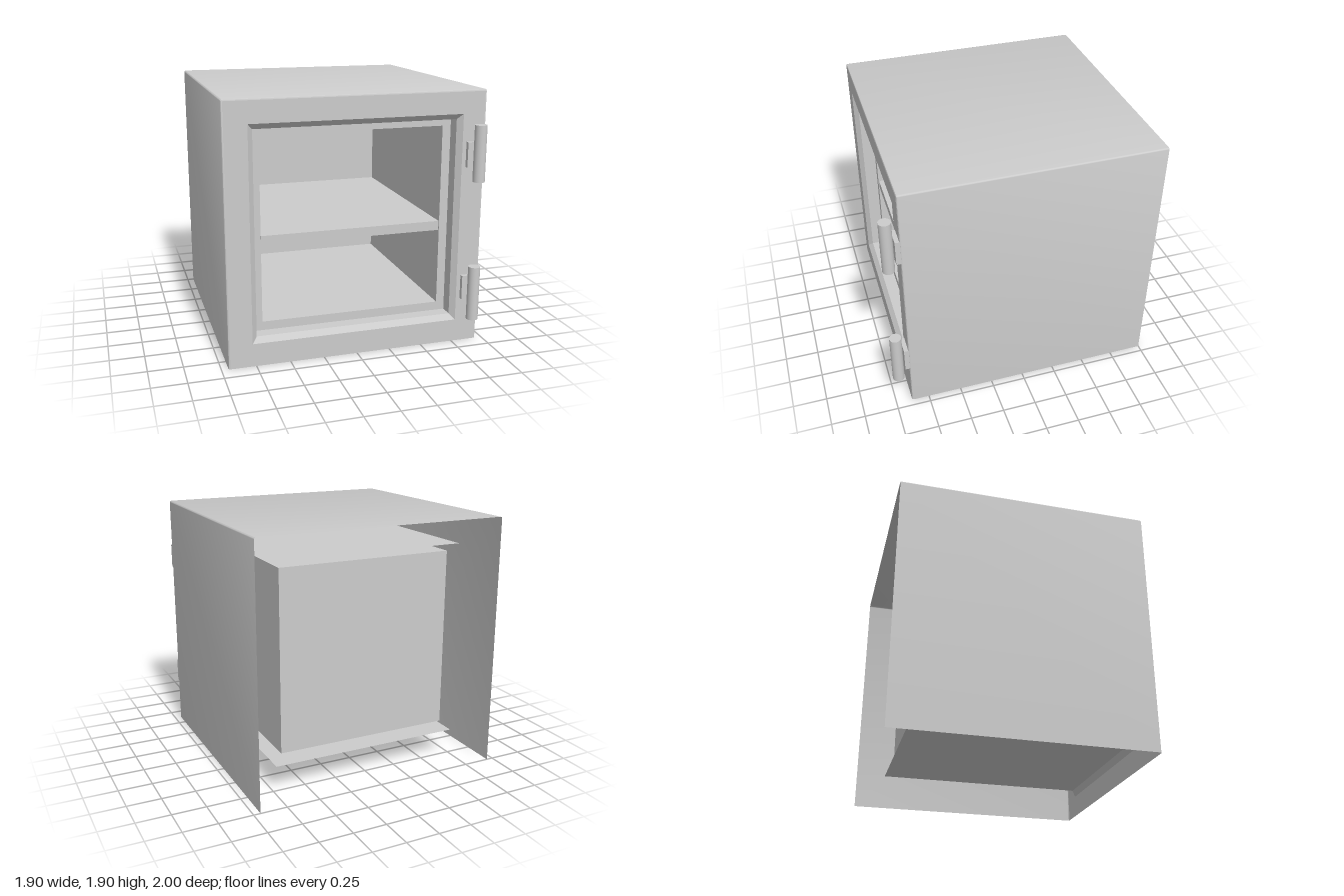
import * as THREE from 'three';
import { toCreasedNormals } from 'three/addons/utils/BufferGeometryUtils.js';

const sheet = new THREE.MeshStandardMaterial({ color: 0xcccccc, side: THREE.DoubleSide });
const solid = new THREE.MeshStandardMaterial({ color: 0xcccccc });

// Cross-section at depth z: a rectangle whose two upper corners have radius r.
function section({ w, y0, y1, z, r = 0 }) {
  const points = [new THREE.Vector3(w, y0, z)];
  for (const [side, start] of [[1, 0], [-1, Math.PI / 2]]) {
    for (let i = 0; i <= 3; i++) {
      const a = start + (i / 3) * Math.PI / 2;
      points.push(new THREE.Vector3(side * (w - r) + r * Math.cos(a), y1 - r + r * Math.sin(a), z));
    }
  }
  points.push(new THREE.Vector3(-w, y0, z));
  return points;
}

// Bridges successive sections; an open loft leaves out the bottom side.
function loft(profile, open = false) {
  const rings = profile.map(section);
  const positions = [];
  const addTriangle = (...corners) => {
    if (new THREE.Triangle(...corners).getArea() < 1e-7) return;
    corners.forEach((p) => positions.push(p.x, p.y, p.z));
  };
  for (let i = 0; i + 1 < rings.length; i++) {
    const n = rings[i].length;
    for (let j = 0; j < (open ? n - 1 : n); j++) {
      const k = (j + 1) % n;
      addTriangle(rings[i][j], rings[i][k], rings[i + 1][k]);
      addTriangle(rings[i][j], rings[i + 1][k], rings[i + 1][j]);
    }
  }
  const geometry = new THREE.BufferGeometry();
  geometry.setAttribute('position', new THREE.Float32BufferAttribute(positions, 3));
  geometry.computeVertexNormals();
  return toCreasedNormals(geometry, 0.65);
}

function add(parent, name, geometry, material, x = 0, y = 0, z = 0) {
  const mesh = new THREE.Mesh(geometry, material);
  mesh.name = name;
  mesh.position.set(x, y, z);
  parent.add(mesh);
  return mesh;
}

export function createModel() {
  const model = new THREE.Group();
  model.name = 'safe';

  // Outer skin: open at the back and underneath, with a softened front edge
  const frontEdge = { w: 0.937, y0: 0, y1: 1.887, z: 0.88, r: 0.003 };
  add(model, 'outerShell', loft([
    { w: 0.95, y0: 0, y1: 1.9, z: -1, r: 0.012 },
    { w: 0.95, y0: 0, y1: 1.9, z: 0.867, r: 0.012 },
    { w: 0.946, y0: 0, y1: 1.896, z: 0.876, r: 0.009 },
    frontEdge,
  ], true), sheet);

  // Front face, bevelled opening and the stepped rim behind it
  add(model, 'frontFrame', loft([
    frontEdge,
    { w: 0.775, y0: 0.17, y1: 1.73, z: 0.88 },
    { w: 0.738, y0: 0.21, y1: 1.69, z: 0.845 },
    { w: 0.738, y0: 0.21, y1: 1.69, z: 0.75 },
    { w: 0.675, y0: 0.275, y1: 1.63, z: 0.75 },
  ]), sheet);

  // Inner compartment and its back panel
  add(model, 'compartmentWalls', loft([
    { w: 0.675, y0: 0.275, y1: 1.63, z: 0.75 },
    { w: 0.675, y0: 0.275, y1: 1.63, z: -0.73 },
  ]), sheet);
  add(model, 'compartmentBack', new THREE.PlaneGeometry(1.35, 1.355), sheet, 0, 0.9525, -0.73);

  // Horizontal lining sheets above and below the compartment
  for (const [name, y] of [['lowerLining', 0.21], ['upperLining', 1.69]]) {
    add(model, name, new THREE.PlaneGeometry(1.476, 1.54), sheet, 0, y, -0.02).rotation.x = -Math.PI / 2;
  }

  add(model, 'shelf', new THREE.BoxGeometry(1.345, 0.07, 1.47), solid, 0, 0.88, 0.01);

  // Two hinges on the left edge
  for (const y of [0.405, 1.455]) {
    const hinge = new THREE.Group();
    hinge.name = 'hinge';
    hinge.position.set(0.875, y, 0);
    add(hinge, 'hingePlate', new THREE.BoxGeometry(0.14, 0.184, 0.035), solid, 0, 0.0 + (y < 1 ? 0.027 : -0.017), 0.894);
    add(hinge, 'hingeBarrel', new THREE.CylinderGeometry(0.044, 0.044, 0.41, 32), solid, 0, 0, 0.956);
    model.add(hinge);
  }
  return model;
}
